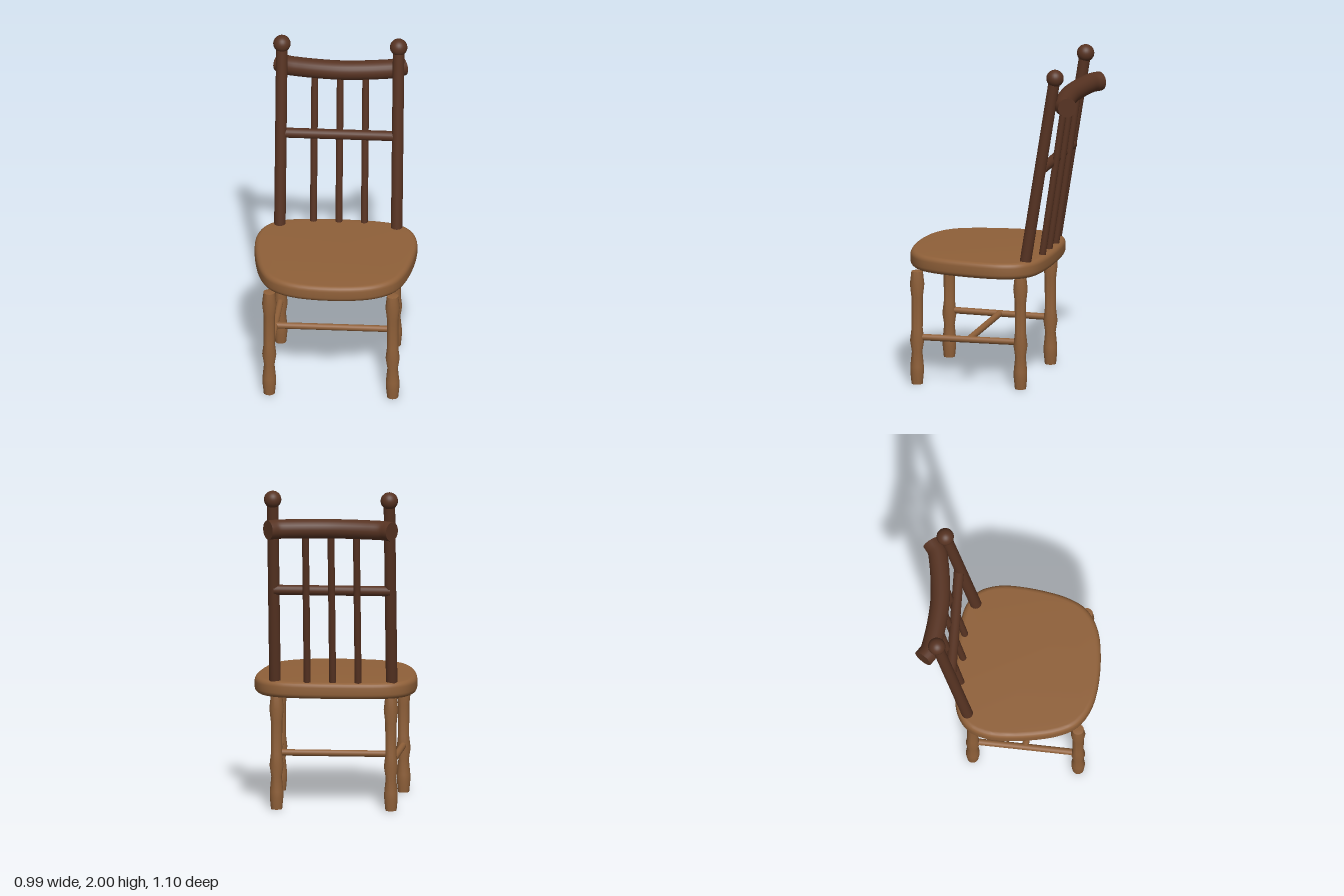
import * as THREE from 'three';
import { toCreasedNormals } from 'three/addons/utils/BufferGeometryUtils.js';

export function createModel() {
  const chair = new THREE.Group();
  chair.name = 'chair';
  const lightWood = new THREE.MeshStandardMaterial({ color: 0x8f6039 });
  lightWood.name = 'lightWood';
  const darkWood = new THREE.MeshStandardMaterial({ color: 0x573322 });
  darkWood.name = 'darkWood';
  const v = (x, y, z) => new THREE.Vector3(x, y, z);

  function add(name, geometry, material, position) {
    const mesh = new THREE.Mesh(geometry, material);
    mesh.name = name;
    if (position) mesh.position.copy(position);
    chair.add(mesh);
    return mesh;
  }

  // Round bar running between two points
  function rod(name, from, to, radius, material) {
    const dir = to.clone().sub(from);
    const geometry = new THREE.CylinderGeometry(radius, radius, dir.length(), 20);
    const mesh = add(name, geometry, material, from.clone().add(to).multiplyScalar(0.5));
    mesh.quaternion.setFromUnitVectors(v(0, 1, 0), dir.normalize());
  }

  // Seat: mirrored half outline (x, z), extruded with a rounded edge
  const half = [[0.3, -0.312], [0.39, -0.275], [0.447, -0.22], [0.483, -0.13], [0.493, -0.03],
    [0.475, 0.16], [0.435, 0.325], [0.375, 0.432], [0.245, 0.513]];
  const outline = [[0, -0.333], ...half, [0, 0.545], ...half.map(([x, z]) => [-x, z]).reverse()];
  const seatCurve = new THREE.CatmullRomCurve3(outline.map(([x, z]) => v(x, z, 0)), true);
  const seatPoints = seatCurve.getPoints(80).slice(0, -1).map(p => new THREE.Vector2(p.x, p.y));
  const bevel = 0.03;
  const seat = new THREE.ExtrudeGeometry(new THREE.Shape(seatPoints), {
    depth: 0.1 - 2 * bevel, bevelEnabled: true, bevelThickness: bevel,
    bevelSize: bevel, bevelOffset: -bevel, bevelSegments: 5,
  });
  seat.rotateX(Math.PI / 2).translate(0, 0.8 - bevel, 0);
  add('seat', toCreasedNormals(seat, 0.6), lightWood);

  // Turned legs
  const legProfile = [[0, 0], [0.034, 0], [0.041, 0.07], [0.041, 0.11], [0.032, 0.2], [0.043, 0.27],
    [0.034, 0.345], [0.035, 0.54], [0.044, 0.62], [0.035, 0.7], [0, 0.705]];
  const leg = toCreasedNormals(new THREE.LatheGeometry(
    legProfile.map(([r, y]) => new THREE.Vector2(r, y)), 24), 0.6);

  const stretcherY = 0.29, frontZ = 0.437, backZ = -0.205;
  for (const s of [1, -1]) {
    const side = s > 0 ? 'left' : 'right';
    add(side + 'FrontLeg', leg, lightWood, v(s * 0.375, 0, frontZ));
    add(side + 'BackLeg', leg, lightWood, v(s * 0.348, 0, backZ));
    rod(side + 'Stretcher', v(s * 0.375, stretcherY, frontZ), v(s * 0.348, stretcherY, backZ), 0.02, lightWood);

    // Leaning back post with a ball finial
    rod(side + 'BackPost', v(s * 0.355, 0.78, -0.236), v(s * 0.355, 1.93, -0.42), 0.035, darkWood);
    add(side + 'Finial', new THREE.SphereGeometry(0.053, 28, 18), darkWood, v(s * 0.355, 1.947, -0.424));
  }
  rod('crossStretcher', v(-0.36, stretcherY, 0.117), v(0.36, stretcherY, 0.117), 0.02, lightWood);

  // Spindles and middle rail of the back
  for (const x of [-0.155, 0, 0.155]) {
    rod('spindle', v(x, 0.78, -0.288), v(x, 1.72, -0.426), 0.021, darkWood);
  }
  rod('middleRail', v(-0.355, 1.375, -0.34), v(0.355, 1.375, -0.34), 0.031, darkWood);

  // Curved crest rail with flat ends
  const crestHalf = [[0.377, -0.507], [0.325, -0.472], [0.24, -0.453], [0.12, -0.437]];
  const crestPoints = [...crestHalf.map(([x, z]) => [-x, z]), [0, -0.43], ...crestHalf.slice().reverse()];
  const crestCurve = new THREE.CatmullRomCurve3(crestPoints.map(([x, z]) => v(x, 1.772, z)));
  const crestRadius = 0.059;
  add('crestRail', new THREE.TubeGeometry(crestCurve, 48, crestRadius, 24), darkWood);
  for (const t of [0, 1]) {
    const end = add('crestEnd', new THREE.CircleGeometry(crestRadius, 24), darkWood, crestCurve.getPoint(t));
    const outward = crestCurve.getTangent(t).multiplyScalar(t ? 1 : -1);
    end.quaternion.setFromUnitVectors(v(0, 0, 1), outward);
  }
  return chair;
}
